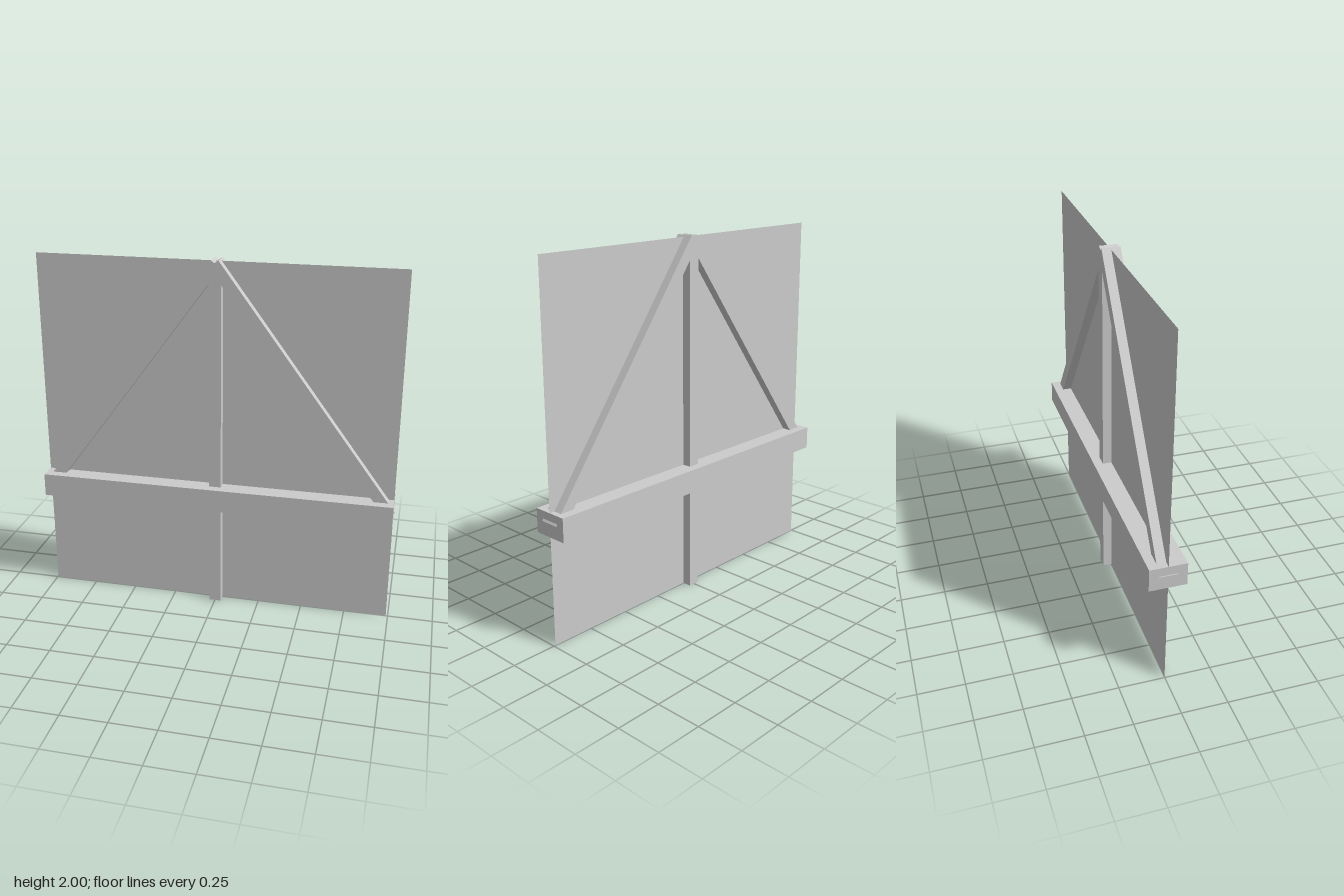
import * as THREE from 'three';

export function createModel() {
  const group = new THREE.Group();
  const material = new THREE.MeshStandardMaterial({ color: 0xcccccc, flatShading: true });

  function add(name, geometry, x, y, mat = material) {
    const mesh = new THREE.Mesh(geometry, mat);
    mesh.name = name;
    mesh.position.set(x, y, 0);
    group.add(mesh);
    return mesh;
  }

  // Thin sheet running through the middle of the frame
  const sheet = material.clone();
  sheet.side = THREE.DoubleSide;
  add('panel', new THREE.PlaneGeometry(1.985, 1.99), -0.003, 0.995, sheet);

  // Upright post and heavy cross beam
  add('post', new THREE.BoxGeometry(0.066, 1.98, 0.1), 0.001, 0.99);
  add('crossBeam', new THREE.BoxGeometry(1.986, 0.13, 0.2), -0.003, 0.665);

  // Diagonal braces: outer edge from the apex to the beam end
  const top = new THREE.Vector2(0.02, 2);
  const foot = new THREE.Vector2(0.998, 0.677);
  const thickness = 0.064;
  const along = top.clone().sub(foot);
  const length = along.length();
  along.normalize();
  const centre = top.clone().add(foot).multiplyScalar(0.5);
  centre.x -= along.y * thickness / 2;
  centre.y += along.x * thickness / 2;
  const angle = Math.atan2(-along.x, along.y);
  for (const [side, name] of [[1, 'leftBrace'], [-1, 'rightBrace']]) {
    const brace = add(name, new THREE.BoxGeometry(thickness, length, 0.1), side * centre.x, centre.y);
    brace.rotation.z = side * angle;
  }

  return group;
}
